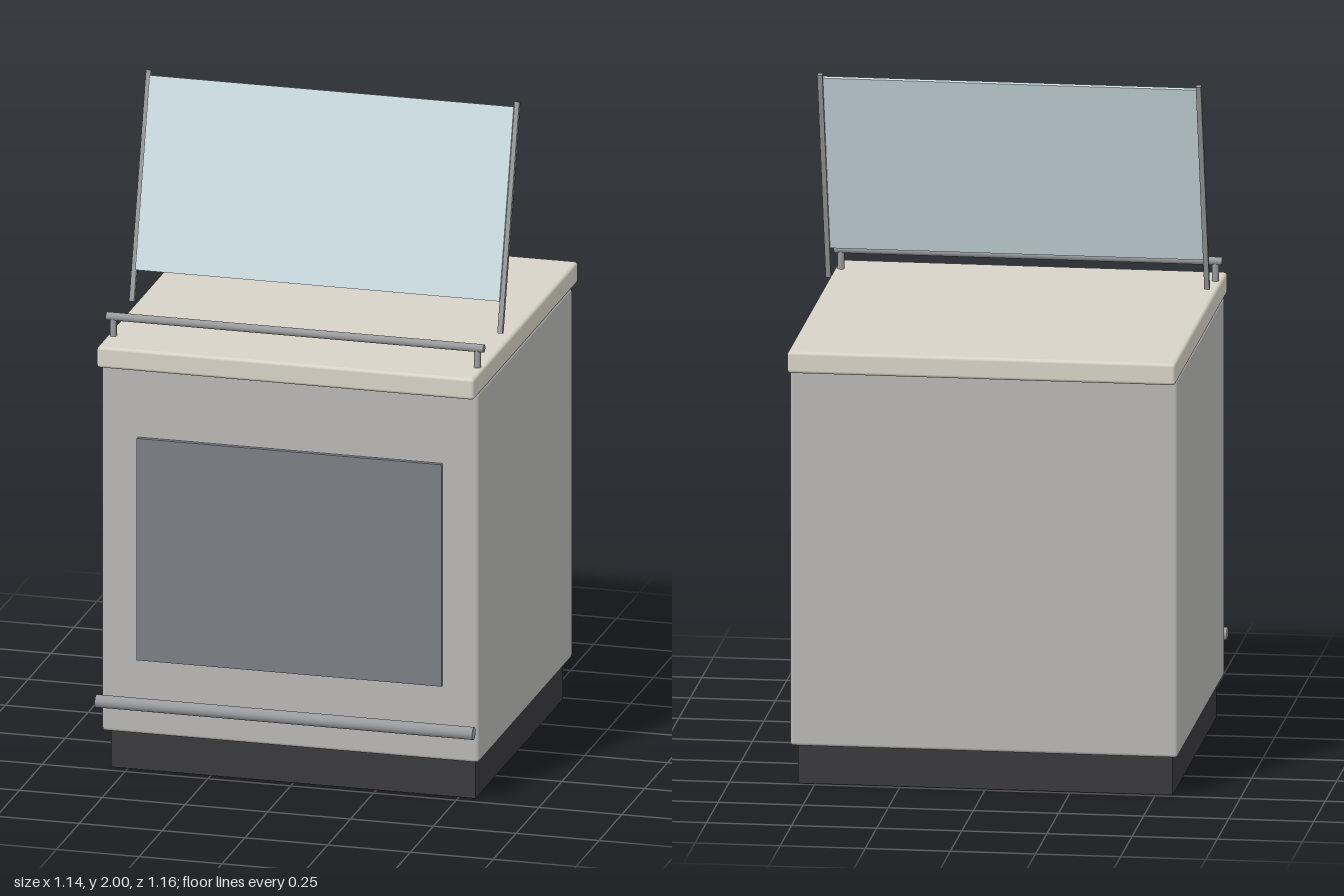
import * as THREE from 'three';
import { RoundedBoxGeometry } from 'three/addons/geometries/RoundedBoxGeometry.js';

const paint = (color) => new THREE.MeshStandardMaterial({ color });

export function createModel() {
  const root = new THREE.Group();
  const enamel = paint(0xb9b8b7);
  const stone = paint(0xd8d3c7);
  const dark = paint(0x3a3a3d);
  const doorGlass = paint(0x7b7f85);
  const paleGlass = paint(0xcfdfe4);
  const steel = paint(0x9a9b9e);

  const add = (name, geometry, material, x, y, z, parent = root) => {
    const mesh = new THREE.Mesh(geometry, material);
    mesh.name = name;
    mesh.position.set(x, y, z);
    parent.add(mesh);
    return mesh;
  };
  // Box given by its lower and upper limits, with optional rounded edges
  const block = (name, material, [x0, y0, z0], [x1, y1, z1], radius = 0) => {
    const size = [x1 - x0, y1 - y0, z1 - z0];
    const geometry = radius
      ? new RoundedBoxGeometry(...size, 3, radius)
      : new THREE.BoxGeometry(...size);
    return add(name, geometry, material, (x0 + x1) / 2, (y0 + y1) / 2, (z0 + z1) / 2);
  };
  // Round bar lying along x
  const bar = (name, radius, length, y, z) => {
    const geometry = new THREE.CylinderGeometry(radius, radius, length, 24);
    geometry.rotateZ(Math.PI / 2);
    return add(name, geometry, steel, 0, y, z);
  };

  // Cabinet
  block('plinth', dark, [-0.55, 0, -0.487], [0.55, 0.13, 0.47]);
  block('body', enamel, [-0.569, 0.12, -0.522], [0.569, 1.253, 0.503], 0.01);
  block('worktop', stone, [-0.57, 1.25, -0.58], [0.57, 1.315, 0.56], 0.01);
  block('doorWindow', doorGlass, [-0.46, 0.35, 0.49], [0.46, 1.03, 0.517]);

  // Door handle and worktop rail
  bar('doorHandle', 0.019, 1.14, 0.23, 0.561);
  bar('towelRail', 0.012, 1.14, 1.374, 0.447);
  for (const side of [-1, 1]) {
    add('railPost', new THREE.CylinderGeometry(0.01, 0.01, 0.064, 16), steel,
      side * 0.55, 1.342, 0.447);
  }

  // Raised glass lid, leaning back between two thin arms
  const lid = new THREE.Group();
  lid.name = 'lid';
  lid.position.set(0, 1.6725, 0.127);
  lid.rotation.x = -Math.atan(0.285);
  root.add(lid);
  add('lidGlass', new THREE.BoxGeometry(1.1, 0.569, 0.012), paleGlass, 0, 0.039, 0.009, lid);
  for (const side of [-1, 1]) {
    add('lidArm', new THREE.BoxGeometry(0.015, 0.677, 0.015), steel, side * 0.556, 0, 0, lid);
  }

  return root;
}
